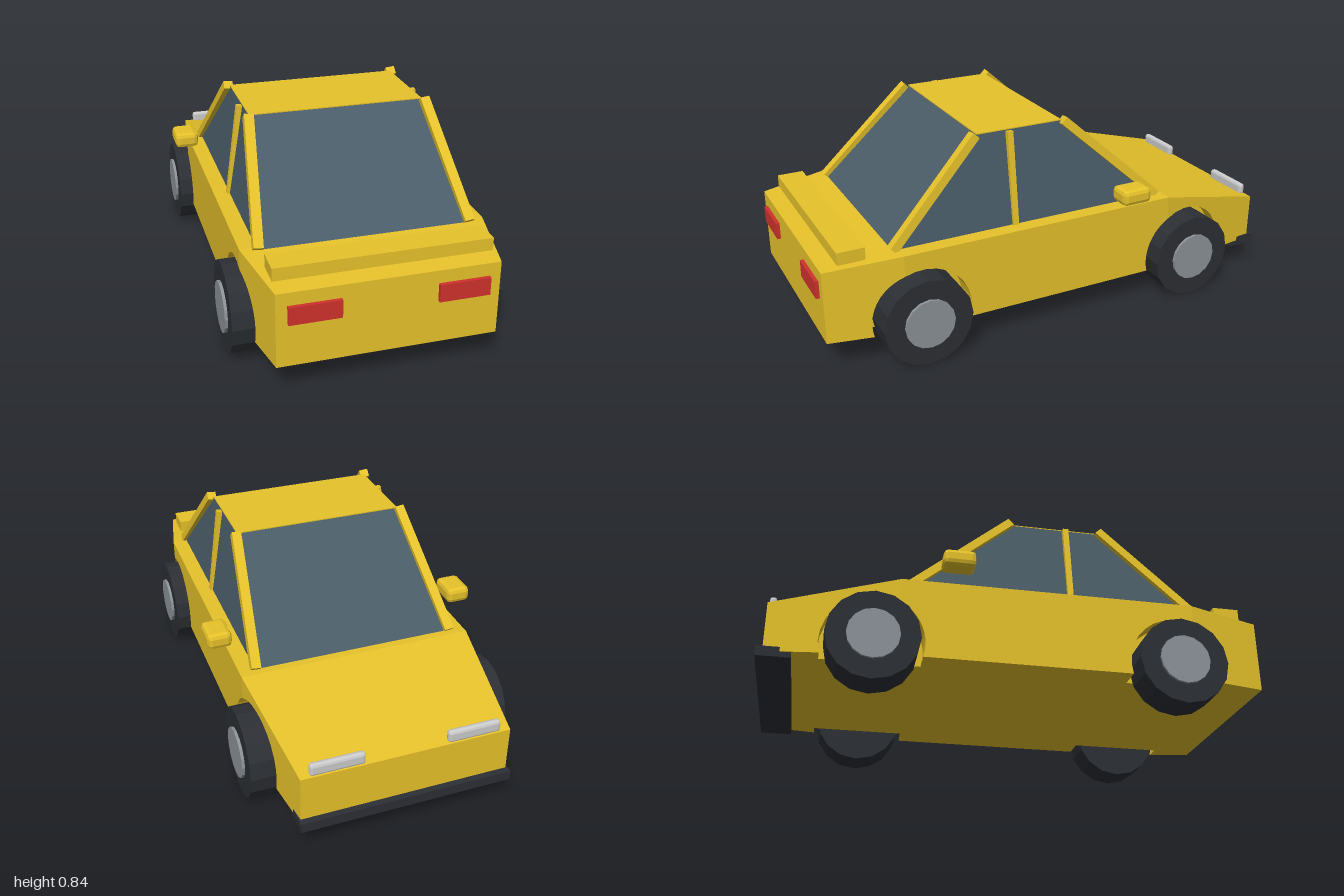
import * as THREE from 'three';
import { RoundedBoxGeometry } from 'three/addons/geometries/RoundedBoxGeometry.js';

const material = (color) => new THREE.MeshStandardMaterial({ color, flatShading: true });

// Body dimensions; the nose points to -z
const FLOOR = 0.127, WELL_X = 0.38, ARCH_R = 0.198, WHEEL_Y = 0.178, WHEEL_R = 0.178;
const NOSE = -0.975, HOOD = -0.48, DECK = 0.69, TAIL = 0.985;
const NOSE_Y = 0.328, BELT = 0.447, TAIL_Y = 0.42;
const AXLES = { front: -0.58, rear: 0.62 };

// Half width of the body, tapering towards both ends
function halfWidth(z) {
  if (z < HOOD) return THREE.MathUtils.mapLinear(z, NOSE, HOOD, 0.412, 0.475);
  if (z > DECK) return THREE.MathUtils.mapLinear(z, DECK, TAIL, 0.475, 0.415);
  return 0.475;
}

// Side profile [z, y] extruded across x; place(t, z) gives x for t from 0 to 1
function slab(profile, place) {
  const shape = new THREE.Shape(profile.map(([z, y]) => new THREE.Vector2(-z, y)));
  const geometry = new THREE.ExtrudeGeometry(shape, { depth: 1, bevelEnabled: false });
  geometry.rotateY(Math.PI / 2);
  const p = geometry.attributes.position;
  for (let i = 0; i < p.count; i++) p.setX(i, place(p.getX(i), p.getZ(i)));
  geometry.computeVertexNormals();
  return geometry;
}

// Points of a wheel arch between two angles, measured from +z
function arch(z, from, to, steps = 10) {
  return Array.from({ length: steps + 1 }, (_, i) => {
    const a = from + ((to - from) * i) / steps;
    return [z + ARCH_R * Math.cos(a), WHEEL_Y + ARCH_R * Math.sin(a)];
  });
}

export function createModel() {
  const car = new THREE.Group();
  car.name = 'car';
  const yellow = material(0xe6c22a);
  const glass = material(0x4a5d68);
  const black = material(0x2c2f34);
  const hubGrey = material(0x8c9399);
  const red = material(0xd0322d);
  const lampGrey = material(0xcccccc);

  function add(name, geometry, mat, x = 0, y = 0, z = 0) {
    const mesh = new THREE.Mesh(geometry, mat);
    mesh.name = name;
    mesh.position.set(x, y, z);
    car.add(mesh);
    return mesh;
  }

  // Square bar between two points
  function bar(name, a, b, width, depth) {
    const start = new THREE.Vector3(...a), end = new THREE.Vector3(...b);
    const mesh = add(name, new THREE.BoxGeometry(width, start.distanceTo(end), depth), yellow);
    mesh.position.copy(start).add(end).multiplyScalar(0.5);
    mesh.quaternion.setFromUnitVectors(new THREE.Vector3(0, 1, 0), end.sub(start).normalize());
  }

  // Middle of the body, between the wheel wells
  const core = [[NOSE, FLOOR], [NOSE, NOSE_Y], [HOOD, BELT], [DECK, BELT], [TAIL, TAIL_Y], [TAIL, FLOOR]];
  add('bodyCore', slab(core, (t) => (2 * t - 1) * WELL_X), yellow);

  // Flanks with wheel arches, in three flat pieces on each side
  const low = Math.asin((FLOOR - WHEEL_Y) / ARCH_R);
  const hoodCut = Math.acos((HOOD - AXLES.front) / ARCH_R);
  const deckCut = Math.acos((DECK - AXLES.rear) / ARCH_R);
  const flanks = {
    noseFlank: [[NOSE, FLOOR], [NOSE, NOSE_Y], [HOOD, BELT], ...arch(AXLES.front, hoodCut, Math.PI - low)],
    doorFlank: [[HOOD, BELT], [DECK, BELT], ...arch(AXLES.rear, deckCut, Math.PI - low),
      ...arch(AXLES.front, low, hoodCut)],
    tailFlank: [[DECK, BELT], [TAIL, TAIL_Y], [TAIL, FLOOR], ...arch(AXLES.rear, low, deckCut)],
  };
  for (const [name, profile] of Object.entries(flanks)) {
    const span = (t, z) => WELL_X + t * (halfWidth(z) - WELL_X);
    add(name + 'Left', slab(profile, span), yellow);
    add(name + 'Right', slab(profile, (t, z) => -span(1 - t, z)), yellow);
  }

  // Glass cabin: a box with its top pulled in
  const cabin = new THREE.BoxGeometry(1, 1, 1);
  const p = cabin.attributes.position;
  for (let i = 0; i < p.count; i++) {
    const top = p.getY(i) > 0, back = p.getZ(i) > 0;
    const x = Math.sign(p.getX(i)) * (top ? 0.35 : 0.413);
    p.setXYZ(i, x, top ? 0.818 : 0.44, top ? (back ? 0.335 : -0.03) : (back ? 0.715 : -0.455));
  }
  cabin.computeVertexNormals();
  add('cabinGlass', cabin, glass);
  add('roof', new THREE.BoxGeometry(0.7, 0.006, 0.365), yellow, 0, 0.819, 0.1525);

  for (const [side, s] of [['Left', 1], ['Right', -1]]) {
    // Window pillars
    bar('frontPillar' + side, [s * 0.41, 0.448, -0.45], [s * 0.355, 0.822, -0.032], 0.038, 0.034);
    bar('rearPillar' + side, [s * 0.41, 0.448, 0.712], [s * 0.355, 0.822, 0.346], 0.038, 0.034);
    bar('doorPillar' + side, [s * 0.408, 0.445, 0.203], [s * 0.357, 0.815, 0.203], 0.03, 0.024);

    // Wing mirror and lamps
    add('mirror' + side, new RoundedBoxGeometry(0.098, 0.064, 0.128, 1, 0.018), yellow, s * 0.513, 0.522, -0.268);
    add('headlight' + side, new RoundedBoxGeometry(0.212, 0.05, 0.028, 1, 0.011), lampGrey, s * 0.268, 0.35, -0.957);
    add('tailLight' + side, new THREE.BoxGeometry(0.194, 0.07, 0.03), red, s * 0.276, 0.334, 0.985);

    // Wheels
    for (const [end, z] of Object.entries(AXLES)) {
      const tyre = new THREE.CylinderGeometry(WHEEL_R, WHEEL_R, 0.145, 16).rotateZ(Math.PI / 2);
      const hub = new THREE.CylinderGeometry(0.1, 0.1, 0.155, 16).rotateZ(Math.PI / 2);
      add(end + 'Tyre' + side, tyre, black, s * 0.4575, WHEEL_Y, z);
      add(end + 'Hub' + side, hub, hubGrey, s * 0.464, WHEEL_Y, z);
    }
  }

  // Rear spoiler and front bumper
  add('spoiler', new THREE.BoxGeometry(0.82, 0.05, 0.108), yellow, 0, 0.459, 0.868);
  add('frontBumper', new THREE.BoxGeometry(0.84, 0.04, 0.13), black, 0, 0.125, -0.935);
  return car;
}
